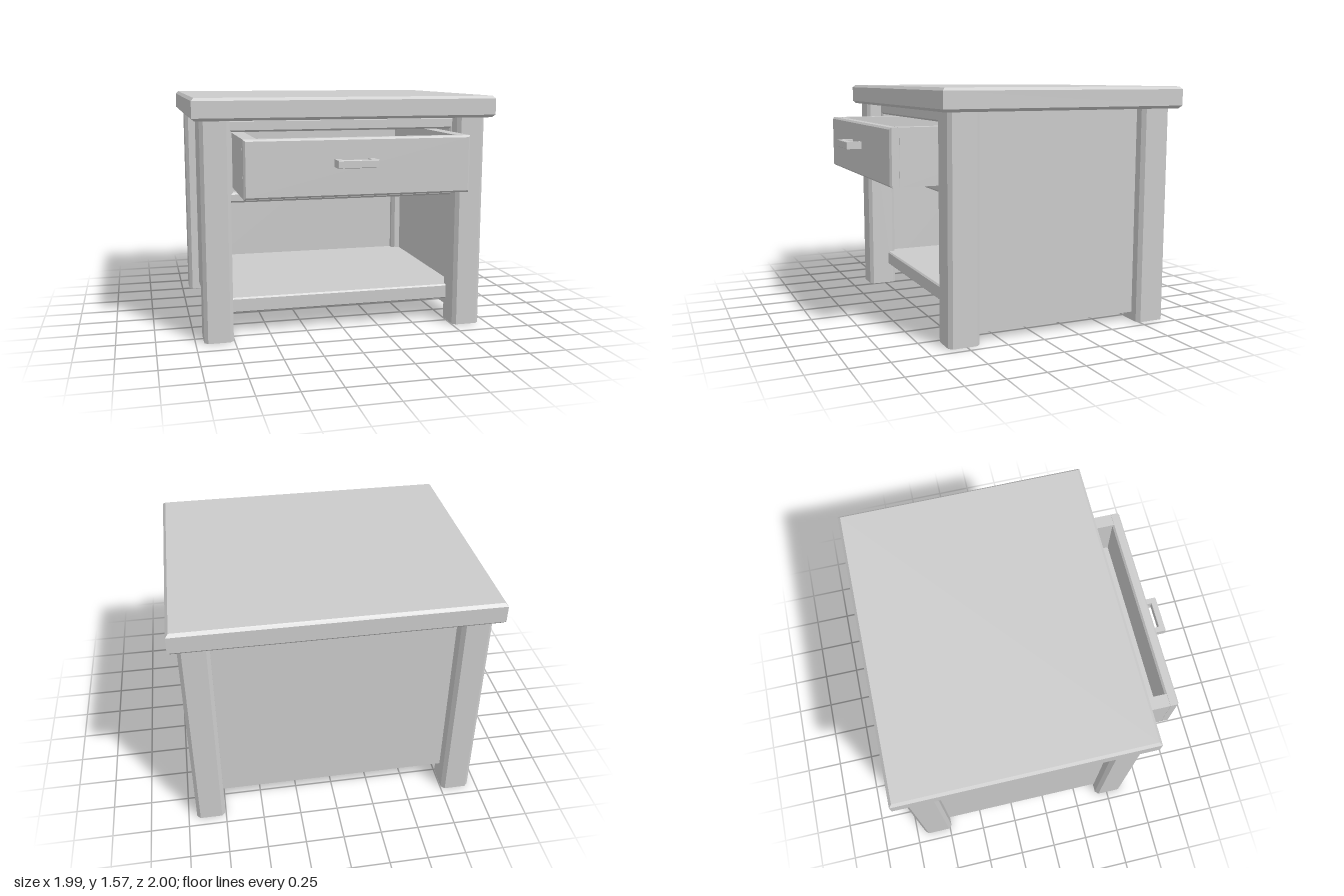
import * as THREE from 'three';

const material = new THREE.MeshStandardMaterial({ color: 0xcccccc, flatShading: true });

function add(parent, name, geometry) {
  const mesh = new THREE.Mesh(geometry, material);
  mesh.name = name;
  parent.add(mesh);
  return mesh;
}

// Plain box given by its limits on each axis
function box(parent, name, [x0, x1], [y0, y1], [z0, z1]) {
  const g = new THREE.BoxGeometry(x1 - x0, y1 - y0, z1 - z0);
  g.translate((x0 + x1) / 2, (y0 + y1) / 2, (z0 + z1) / 2);
  return add(parent, name, g);
}

function rect(x0, x1, y0, y1, Type = THREE.Shape) {
  return new Type([[x0, y0], [x1, y0], [x1, y1], [x0, y1]].map(p => new THREE.Vector2(...p)));
}

// Board whose front and back rims are chamfered by b; optional hole [x0, x1, y0, y1]
function board(parent, name, [x0, x1], [y0, y1], [z0, z1], b, hole) {
  const shape = rect(x0 + b, x1 - b, y0 + b, y1 - b);
  if (hole) shape.holes.push(rect(hole[0] - b, hole[1] + b, hole[2] - b, hole[3] + b, THREE.Path));
  const g = new THREE.ExtrudeGeometry(shape, {
    depth: z1 - z0 - 2 * b, bevelEnabled: true, bevelSize: b, bevelThickness: b, bevelSegments: 1,
  });
  g.translate(0, 0, z0 + b);
  return add(parent, name, g);
}

// Square post with chamfered corners, standing on the ground
function post(parent, name, cx, cz, w, d, h, c) {
  const x = w / 2, z = d / 2;
  const pts = [[x - c, -z], [x, c - z], [x, z - c], [x - c, z], [c - x, z], [-x, z - c], [-x, c - z], [c - x, -z]];
  const shape = new THREE.Shape(pts.map(p => new THREE.Vector2(...p)));
  const g = new THREE.ExtrudeGeometry(shape, { depth: h, bevelEnabled: false });
  g.rotateX(-Math.PI / 2).translate(cx, 0, cz);
  return add(parent, name, g);
}

export function createModel() {
  const model = new THREE.Group();
  model.name = 'nightstand';

  // Table top with chamfered upper and lower rims
  const top = board(model, 'tableTop', [-0.995, 0.995], [-0.667, 1], [1.425, 1.567], 0.018);
  top.geometry.rotateX(-Math.PI / 2);

  // Legs and side panels, mirrored
  for (const s of [-1, 1]) {
    const side = s > 0 ? 'left' : 'right';
    post(model, side + 'FrontLeg', s * 0.85, 0.513, 0.19, 0.205, 1.43, 0.023);
    post(model, side + 'BackLeg', s * 0.85, -0.838, 0.19, 0.205, 1.43, 0.023);
    const xs = [s * 0.82, s * 0.87].sort((a, b) => a - b);
    box(model, side + 'Panel', xs, [0.055, 1.43], [-0.84, 0.48]);
  }

  // Back panel and lower shelf
  box(model, 'backPanel', [-0.82, 0.82], [0.15, 1.43], [-0.84, -0.79]);
  board(model, 'shelf', [-0.82, 0.82], [0.147, 0.25], [-0.8, 0.47], 0.01);

  // Face frame around the drawer opening
  board(model, 'drawerFrame', [-0.82, 0.82], [0.893, 1.425], [0.43, 0.51], 0.012, [-0.732, 0.738, 0.958, 1.345]);

  // Open drawer
  const drawer = new THREE.Group();
  drawer.name = 'drawer';
  model.add(drawer);
  const back = -0.4, y = [0.97, 1.33];
  board(drawer, 'drawerFront', [-0.715, 0.72], y, [0.83, 0.9], 0.012);
  box(drawer, 'drawerRightSide', [-0.715, -0.63], y, [back, 0.84]);
  box(drawer, 'drawerLeftSide', [0.635, 0.72], y, [back, 0.84]);
  box(drawer, 'drawerBack', [-0.63, 0.635], y, [back, back + 0.07]);
  box(drawer, 'drawerFloor', [-0.63, 0.635], [0.97, 1.01], [back + 0.07, 0.84]);

  // Handle: two stems and a grip
  const handle = new THREE.Group();
  handle.name = 'handle';
  drawer.add(handle);
  for (const x of [-0.162, 0.053]) box(handle, 'handleStem', [x, x + 0.037], [1.155, 1.203], [0.89, 0.965]);
  board(handle, 'handleGrip', [-0.162, 0.09], [1.155, 1.203], [0.96, 1], 0.003);

  return model;
}
